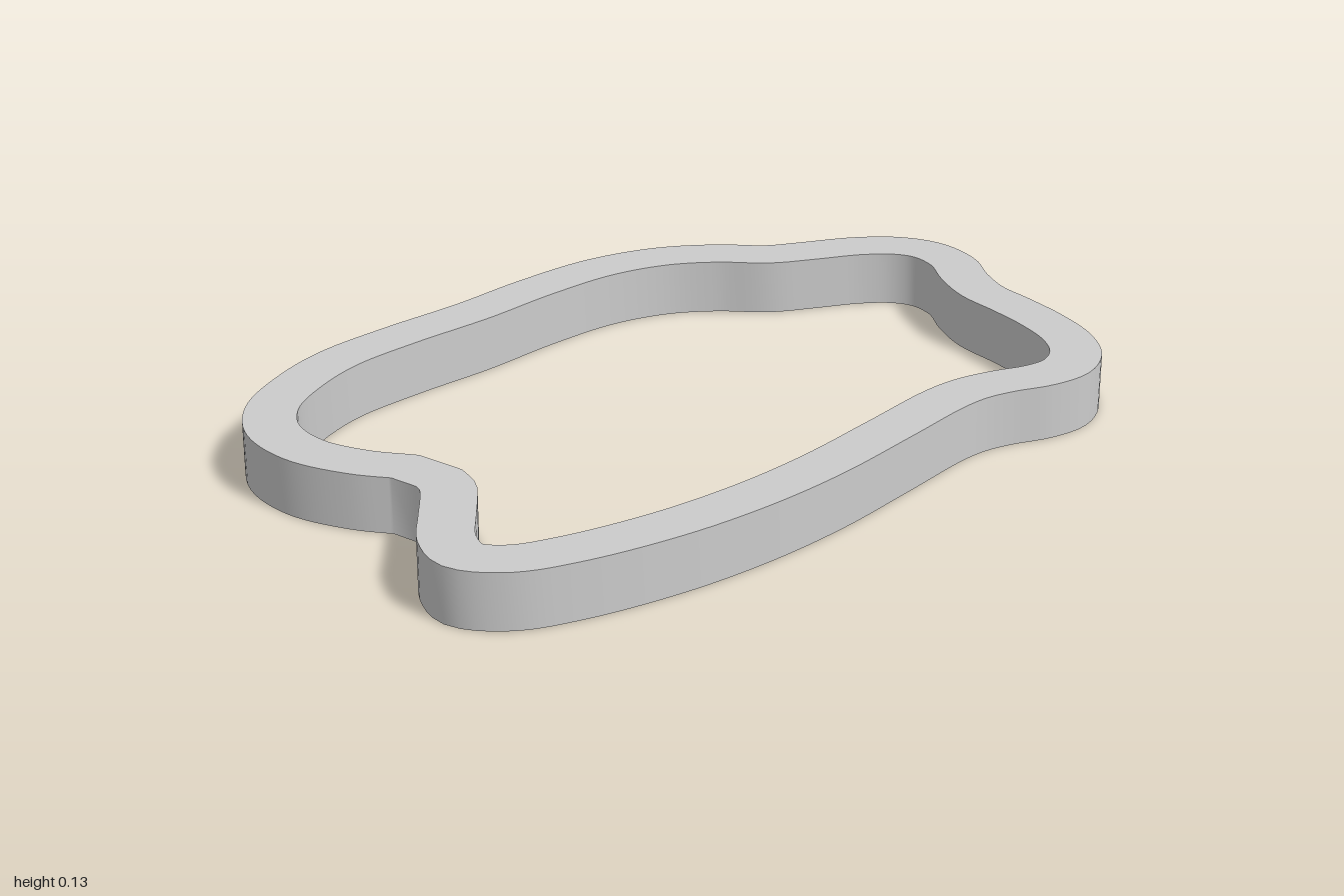
import * as THREE from 'three';
import { toCreasedNormals } from 'three/addons/utils/BufferGeometryUtils.js';

const WIDTH = 0.115, HEIGHT = 0.127, SAMPLES = 260;

// Centre line of the band as [x, z]; a short straight notch edge closes it.
const CENTRE = [
  [-0.18, 0.71], [-0.27, 0.75], [-0.4, 0.773], [-0.52, 0.74], [-0.602, 0.655],
  [-0.647, 0.52], [-0.662, 0.38], [-0.638, 0.2], [-0.597, 0], [-0.57, -0.2],
  [-0.525, -0.39], [-0.45, -0.53], [-0.355, -0.625], [-0.25, -0.695], [-0.188, -0.767],
  [-0.105, -0.868], [-0.03, -0.925], [0.045, -0.943], [0.132, -0.915], [0.205, -0.85],
  [0.285, -0.797], [0.385, -0.765], [0.485, -0.728], [0.577, -0.677], [0.638, -0.61],
  [0.658, -0.53], [0.635, -0.455], [0.587, -0.38], [0.552, -0.307], [0.534, -0.228],
  [0.52, -0.03], [0.502, 0.2], [0.467, 0.4], [0.408, 0.6], [0.318, 0.8],
  [0.248, 0.9], [0.168, 0.941], [0.098, 0.907], [0.035, 0.832], [-0.015, 0.768],
  [-0.05, 0.73], [-0.09, 0.71],
];

// Shift a closed polyline sideways, mitring every corner.
function offsetLoop(points, distance) {
  const n = points.length;
  return points.map((p, i) => {
    const a = p.clone().sub(points[(i + n - 1) % n]).normalize();
    const b = points[(i + 1) % n].clone().sub(p).normalize();
    const tangent = a.clone().add(b).normalize();
    const normal = new THREE.Vector2(-tangent.y, tangent.x);
    return p.clone().addScaledVector(normal, distance / tangent.dot(a));
  });
}

export function createModel() {
  const group = new THREE.Group();
  group.name = 'outlineRing';

  const curve = new THREE.CatmullRomCurve3(
    CENTRE.map(([x, z]) => new THREE.Vector3(x, -z, 0)), false, 'centripetal');
  const line = curve.getSpacedPoints(SAMPLES).map((p) => new THREE.Vector2(p.x, p.y));

  // The path runs clockwise, so a positive offset lies outside;
  // the hole runs the other way so that its wall faces inward.
  const shape = new THREE.Shape(offsetLoop(line, WIDTH / 2));
  shape.holes.push(new THREE.Path(offsetLoop(line, -WIDTH / 2).reverse()));

  const geometry = new THREE.ExtrudeGeometry(shape, { depth: HEIGHT, bevelEnabled: false });
  geometry.rotateX(-Math.PI / 2);

  const band = new THREE.Mesh(
    toCreasedNormals(geometry, 0.6), new THREE.MeshStandardMaterial({ color: 0xcccccc }));
  band.name = 'band';
  group.add(band);
  return group;
}
